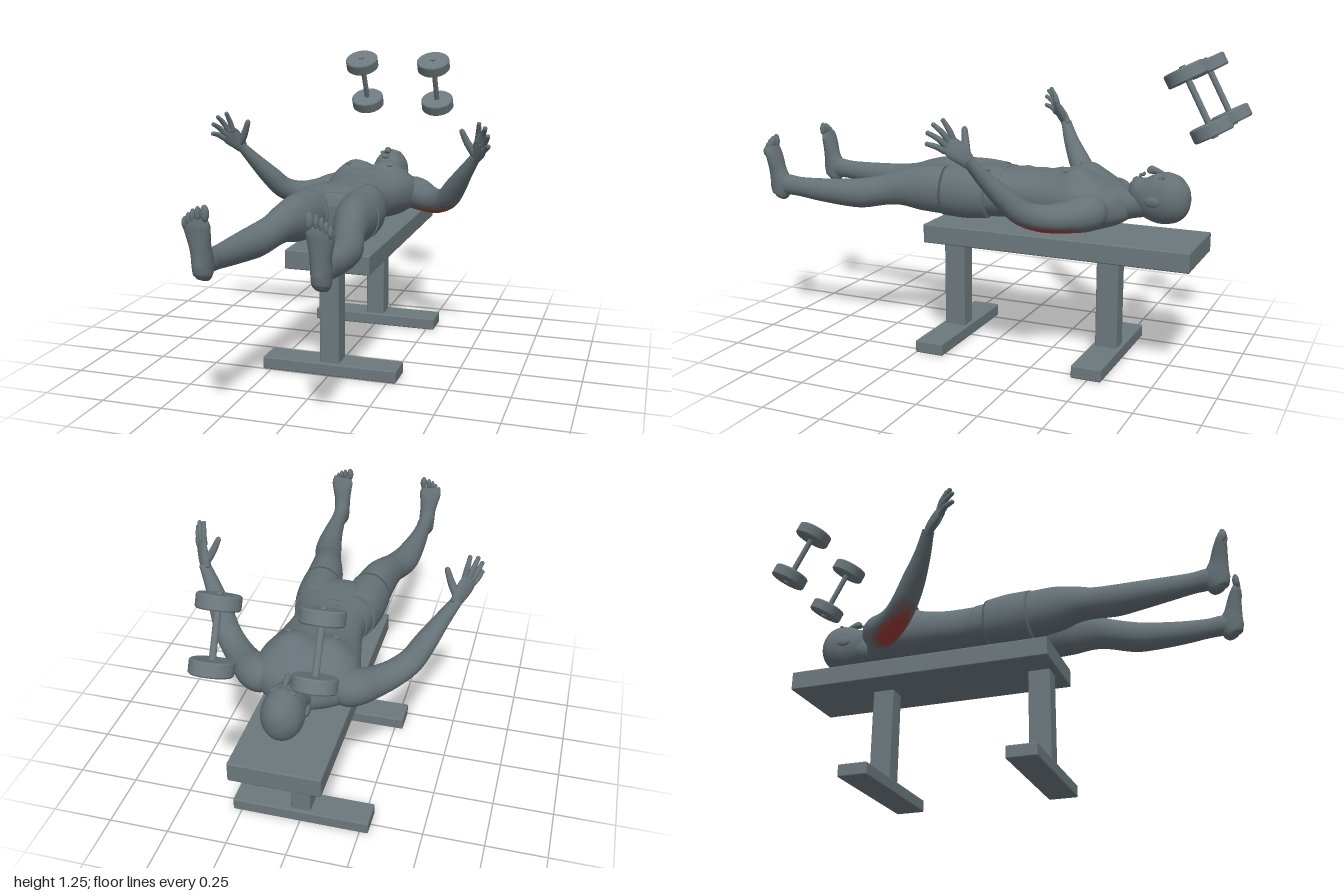
import * as THREE from 'three';
import { RoundedBoxGeometry } from 'three/addons/geometries/RoundedBoxGeometry.js';

const V = (x, y, z) => new THREE.Vector3(x, y, z);
const material = (name, color) => {
  const m = new THREE.MeshStandardMaterial({ color });
  m.name = name;
  return m;
};

// Smooth interpolation through rows of numbers
function sample(rows, f) {
  const i = Math.min(Math.floor(f), rows.length - 2), t = f - i;
  const at = (k) => rows[Math.max(0, Math.min(rows.length - 1, k))];
  const a = at(i - 1), b = at(i), c = at(i + 1), d = at(i + 2);
  return b.map((p, k) => p + 0.5 * t * (c[k] - a[k] +
    t * (2 * a[k] - 5 * p + 4 * c[k] - d[k] + t * (3 * (p - c[k]) + d[k] - a[k]))));
}

// Closed skin through oval sections [x, y, z, radiusU, radiusV]; u is the width direction
function loft(rows, { u: ref = V(1, 0, 0), sides = 28, steps = 5, power = 2, shape, paint } = {}) {
  const n = (rows.length - 1) * steps, pos = [], faces = [[], [], [], []];
  const rings = Array.from({ length: n + 1 }, (_, i) => sample(rows, i / steps));
  const center = rings.map((r) => V(r[0], r[1], r[2]));
  const curl = (s) => Math.sign(s) * Math.abs(s) ** (2 / power);
  rings.forEach((r, i) => {
    const t = center[Math.min(n, i + 1)].clone().sub(center[Math.max(0, i - 1)]).normalize();
    const v = t.clone().cross(ref).normalize(), u = v.clone().cross(t);
    for (let j = 0; j < sides; j++) {
      const a = (j / sides) * Math.PI * 2;
      const p = center[i].clone().addScaledVector(u, curl(Math.cos(a)) * r[3]).addScaledVector(v, curl(Math.sin(a)) * r[4]);
      if (shape) shape(p, center[i]);
      pos.push(p.x, p.y, p.z);
    }
  });
  for (let i = 0; i < n; i++) for (let j = 0; j < sides; j++) {
    const k = (j + 1) % sides, a = i * sides + j, b = i * sides + k, c = b + sides, d = a + sides;
    faces[paint ? paint((i + 0.5) / steps, ((j + 0.5) / sides) * Math.PI * 2) : 0].push(a, b, c, a, c, d);
  }
  // End caps
  const s = pos.length / 3;
  pos.push(...center[0].toArray(), ...center[n].toArray());
  for (let j = 0; j < sides; j++) {
    const k = (j + 1) % sides;
    faces[0].push(s, k, j, s + 1, n * sides + j, n * sides + k);
  }
  const g = new THREE.BufferGeometry();
  g.setAttribute('position', new THREE.Float32BufferAttribute(pos, 3));
  g.setIndex(faces.flat());
  if (paint) {
    let start = 0;
    faces.forEach((f, m) => { if (f.length) g.addGroup(start, f.length, m); start += f.length; });
  }
  g.computeVertexNormals();
  return g;
}

function mirrored(g) {
  const m = g.clone();
  m.scale(-1, 1, 1);
  const ix = m.index.array;
  for (let i = 0; i < ix.length; i += 3) [ix[i], ix[i + 1]] = [ix[i + 1], ix[i]];
  m.computeVertexNormals();
  return m;
}

const ball = (x, y, z, rx, ry, rz) => new THREE.SphereGeometry(1, 20, 14).scale(rx, ry, rz).translate(x, y, z);

export function createModel() {
  const root = new THREE.Group();
  root.name = 'benchExercise';
  const steel = material('benchGrey', 0x6c787d), skin = material('bodyGrey', 0x657176);
  const tint = material('fadedRed', 0x75605f), warm = material('dullRed', 0x8a4a47), red = material('muscleRed', 0xa23a35);

  const add = (parent, name, geo, mat) => {
    const m = new THREE.Mesh(geo, mat);
    m.name = name;
    parent.add(m);
    return m;
  };
  const group = (name) => {
    const g = new THREE.Group();
    g.name = name;
    root.add(g);
    return g;
  };

  // Bench
  const bench = group('bench');
  const box = (name, w, h, d, y, z) =>
    add(bench, name, new RoundedBoxGeometry(w, h, d, 2, 0.006).translate(0, y, z), steel);
  box('benchTop', 0.356, 0.08, 1.125, 0.485, -0.297);
  for (const z of [0.19, -0.495]) {
    box('benchPost', 0.082, 0.41, 0.092, 0.25, z);
    box('benchFoot', 0.572, 0.052, 0.124, 0.026, z);
  }

  // Dumbbells, tilted with the upper end forward
  for (const x of [0.177, -0.177]) {
    const d = group('dumbbell');
    const rod = (name, r, h, y) => add(d, name, new THREE.CylinderGeometry(r, r, h, 32).translate(0, y, 0), steel);
    rod('handle', 0.012, 0.22, 0);
    for (const s of [1, -1]) {
      const plate = [[0, -0.026], [0.072, -0.026], [0.077, -0.021], [0.077, 0.021], [0.072, 0.026], [0, 0.026]];
      const g = new THREE.LatheGeometry(plate.map((p) => new THREE.Vector2(...p)), 36).toNonIndexed();
      g.computeVertexNormals();
      add(d, 'weight', g.translate(0, s * 0.11, 0), steel);
      rod('endNut', 0.012, 0.008, s * 0.139);
    }
    d.position.set(x, 1.094, -0.867);
    d.rotation.x = 0.486;
  }

  // Body
  const body = group('body');
  const part = (name, geo) => add(body, name, geo, skin);
  const pair = (name, geo, mat = skin) => {
    add(body, name + 'Left', geo, mat);
    add(body, name + 'Right', mirrored(geo), mat);
  };
  const bump = (a, b, ra, rb) => Math.exp(-((a / ra) ** 2) - (b / rb) ** 2);

  // Torso with chest, belly grooves and spine
  part('torso', loft([
    [0, 0.65, -0.57, 0.058, 0.048], [0, 0.645, -0.54, 0.125, 0.068], [0, 0.643, -0.5, 0.185, 0.083],
    [0, 0.647, -0.45, 0.207, 0.106], [0, 0.656, -0.38, 0.203, 0.12], [0, 0.658, -0.3, 0.186, 0.112],
    [0, 0.66, -0.2, 0.164, 0.1], [0, 0.664, -0.1, 0.148, 0.098], [0, 0.66, 0, 0.162, 0.102],
    [0, 0.658, 0.08, 0.178, 0.102], [0, 0.655, 0.15, 0.13, 0.085], [0, 0.655, 0.18, 0.05, 0.04],
  ], {
    sides: 56, steps: 7, power: 2.3,
    shape(p, c) {
      const x = Math.abs(p.x), lift = (p.y - c.y) / 0.1;
      if (lift > 0) {
        p.y += lift * (0.022 * bump(x - 0.09, p.z + 0.375, 0.06, 0.06) - 0.01 * bump(x, p.z + 0.32, 0.016, 0.16));
        for (const z of [-0.26, -0.19, -0.12]) p.y += lift * 0.007 * bump(x - 0.035, p.z - z, 0.025, 0.025);
      } else p.y -= lift * 0.014 * bump(x, p.z + 0.25, 0.03, 0.22);
    },
  }));
  pair('nipple', ball(0.095, 0.782, -0.335, 0.013, 0.006, 0.011));
  part('waistband', loft([[0, 0.663, -0.07, 0.154, 0.102], [0, 0.661, -0.055, 0.158, 0.104], [0, 0.66, 0, 0.167, 0.106],
    [0, 0.658, 0.08, 0.182, 0.107], [0, 0.656, 0.14, 0.15, 0.09]], { power: 2.3, sides: 40 }));
  pair('buttock', ball(0.075, 0.615, 0.07, 0.078, 0.065, 0.095));

  // Legs and shorts
  pair('leg', loft([
    [0.095, 0.66, 0.03, 0.08, 0.1], [0.102, 0.66, 0.11, 0.085, 0.102], [0.107, 0.662, 0.19, 0.084, 0.1],
    [0.12, 0.665, 0.3, 0.075, 0.094], [0.136, 0.662, 0.38, 0.065, 0.076], [0.151, 0.65, 0.45, 0.059, 0.064],
    [0.177, 0.633, 0.55, 0.06, 0.063], [0.191, 0.631, 0.63, 0.055, 0.058], [0.203, 0.634, 0.75, 0.043, 0.049],
    [0.208, 0.64, 0.85, 0.034, 0.042], [0.21, 0.645, 0.91, 0.034, 0.044], [0.212, 0.645, 0.95, 0.03, 0.04],
  ]));
  pair('shortsLeg', loft([
    [0.092, 0.66, 0.0, 0.08, 0.1], [0.1, 0.66, 0.09, 0.09, 0.107], [0.107, 0.662, 0.193, 0.088, 0.104],
  ]));

  // Feet point upward, soles forward
  pair('foot', loft([
    [0.213, 0.59, 0.953, 0.02, 0.022], [0.213, 0.605, 0.947, 0.032, 0.041], [0.213, 0.65, 0.944, 0.036, 0.05],
    [0.214, 0.7, 0.956, 0.037, 0.037], [0.217, 0.75, 0.965, 0.045, 0.029], [0.219, 0.785, 0.973, 0.05, 0.022],
    [0.218, 0.81, 0.977, 0.042, 0.014],
  ]));
  [[0.183, 0.828, 0.0155, 0.03], [0.208, 0.826, 0.0105, 0.026], [0.226, 0.818, 0.01, 0.025],
    [0.242, 0.807, 0.0095, 0.023], [0.257, 0.793, 0.0095, 0.021]]
    .forEach(([x, y, r, h]) => pair('toe', ball(x, y, 0.982, r, h, 0.014)));

  // Arms, red along the underside of the upper arm
  const across = V(0.7, 0, -0.7);
  pair('arm', loft([
    [0.13, 0.645, -0.475, 0.05, 0.055], [0.165, 0.644, -0.463, 0.073, 0.07], [0.205, 0.64, -0.435, 0.076, 0.07],
    [0.255, 0.634, -0.385, 0.066, 0.06], [0.315, 0.638, -0.32, 0.058, 0.053], [0.375, 0.668, -0.258, 0.053, 0.048],
    [0.42, 0.73, -0.205, 0.047, 0.043], [0.47, 0.805, -0.15, 0.034, 0.031], [0.513, 0.868, -0.112, 0.025, 0.021],
    [0.52, 0.88, -0.105, 0.025, 0.019],
  ], {
    u: across, sides: 40, steps: 8,
    paint(f, a) {
      const d = ((f - 3.6) / 1.7) ** 2 + ((a - Math.PI * 1.5) / 1.15) ** 2;
      return d < 0.35 ? 3 : d < 0.62 ? 2 : d < 1 ? 1 : 0;
    },
  }), [skin, tint, warm, red]);

  // Hands with spread fingers
  const wide = V(-0.6, 0.65, -0.45);
  pair('palm', loft([
    [0.512, 0.865, -0.113, 0.024, 0.018], [0.527, 0.895, -0.092, 0.034, 0.018],
    [0.543, 0.922, -0.065, 0.039, 0.015], [0.555, 0.943, -0.042, 0.034, 0.011],
  ], { u: wide }));
  const fingers = {
    indexFinger: [[0.533, 0.945, -0.06], [0.54, 0.988, -0.045], [0.545, 1.025, -0.022]],
    middleFinger: [[0.546, 0.942, -0.05], [0.562, 0.982, -0.028], [0.574, 1.012, 0.002]],
    ringFinger: [[0.558, 0.932, -0.042], [0.577, 0.963, -0.016], [0.589, 0.983, 0.018]],
    littleFinger: [[0.563, 0.915, -0.038], [0.582, 0.934, -0.012], [0.592, 0.943, 0.02]],
    thumb: [[0.517, 0.892, -0.1], [0.49, 0.935, -0.085], [0.467, 0.988, -0.07]],
  };
  for (const [name, p] of Object.entries(fingers)) {
    const radii = name === 'thumb' ? [0.018, 0.015, 0.011] : [0.012, 0.011, 0.0085];
    pair(name, loft(p.map((q, i) => [...q, radii[i], radii[i]]), { u: wide, sides: 14 }));
    pair(name + 'Tip', ball(...p[2], 0.009, 0.009, 0.009));
  }

  // Neck and head, face upward
  part('neck', loft([
    [0, 0.64, -0.48, 0.1, 0.07], [0, 0.645, -0.535, 0.072, 0.062], [0, 0.655, -0.575, 0.06, 0.06], [0, 0.67, -0.65, 0.06, 0.06],
  ]));
  part('head', loft([
    [0, 0.748, -0.578, 0.014, 0.014], [0, 0.739, -0.588, 0.033, 0.033], [0, 0.718, -0.61, 0.054, 0.064],
    [0, 0.7, -0.645, 0.069, 0.09], [0, 0.69, -0.69, 0.077, 0.103], [0, 0.688, -0.73, 0.08, 0.101],
    [0, 0.687, -0.77, 0.07, 0.087], [0, 0.687, -0.8, 0.042, 0.054], [0, 0.687, -0.811, 0.015, 0.02],
  ], {
    sides: 40,
    shape(p) {
      if (p.y > 0.72) p.y -= 0.012 * bump(Math.abs(p.x) - 0.03, p.z + 0.695, 0.018, 0.014);
    },
  }));
  part('nose', loft([
    [0, 0.785, -0.7, 0.007, 0.008], [0, 0.793, -0.675, 0.01, 0.012], [0, 0.795, -0.653, 0.014, 0.017], [0, 0.786, -0.643, 0.013, 0.009],
  ]));
  part('upperLip', ball(0, 0.777, -0.622, 0.021, 0.008, 0.006));
  part('lowerLip', ball(0, 0.772, -0.611, 0.018, 0.008, 0.006));
  part('chin', ball(0, 0.75, -0.594, 0.022, 0.015, 0.015));
  pair('eye', ball(0.03, 0.77, -0.695, 0.012, 0.009, 0.007));
  pair('brow', ball(0.03, 0.776, -0.713, 0.022, 0.009, 0.007));
  pair('ear', ball(0.081, 0.685, -0.68, 0.009, 0.02, 0.031));
  return root;
}
